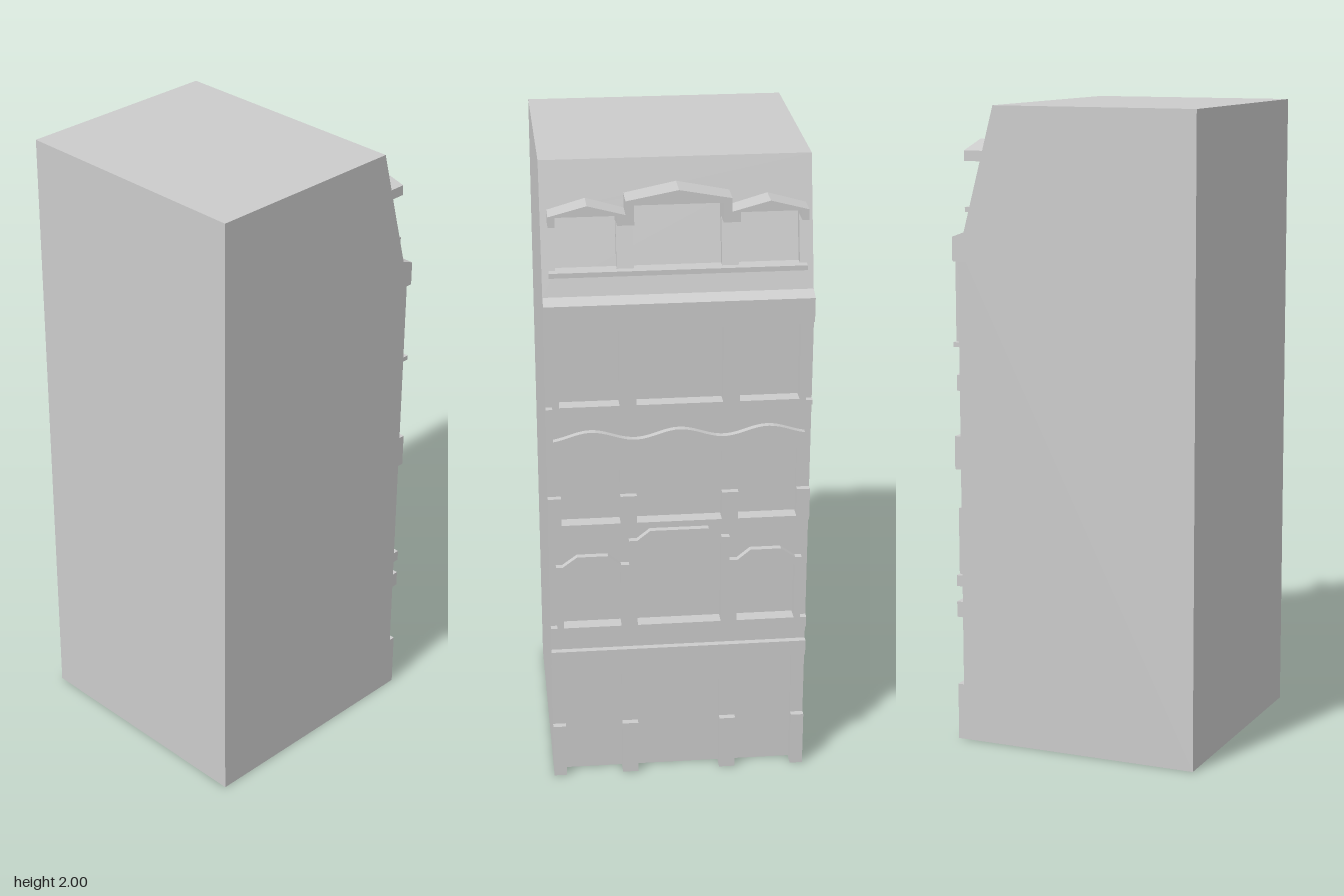
import * as THREE from 'three';

const grey = new THREE.MeshStandardMaterial({ color: 0xcccccc, flatShading: true });
const WALL = 0.38, FRONT = 0.4, GLASS = 0.355;   // facade planes along x
const BAYS = [[-0.36, -0.18], [-0.13, 0.13], [0.18, 0.36]];
const PIERS = [[-0.4, -0.36], [-0.18, -0.13], [0.13, 0.18], [0.36, 0.4]];

const points = (list) => list.map(([a, b]) => new THREE.Vector2(a, b));
// Mirror a half outline (running from u > 0 towards the centre) about u = 0.
const mirror = (half) => [...half, ...half.slice().reverse().map(([u, v]) => [-u, v])];
const rect = ([a, b], y0, y1) => [[a, y0], [b, y0], [b, y1], [a, y1]];

// Window opening with cut top corners.
const cutArch = ([a, b], y0, y1, cx, cy) =>
  [[a, y0], [b, y0], [b, y1 - cy], [b - cx, y1], [a + cx, y1], [a, y1 - cy]];

export function createModel() {
  const model = new THREE.Group();

  const add = (name, geometry) => {
    const mesh = new THREE.Mesh(geometry, grey);
    mesh.name = name;
    model.add(mesh);
    return geometry;
  };

  // Outline in the facade plane (z, y), extruded along x from x0 to x1.
  const relief = (name, outline, holes, x0, x1) => {
    const shape = new THREE.Shape(points(outline));
    for (const hole of holes) shape.holes.push(new THREE.Path(points(hole)));
    const g = new THREE.ExtrudeGeometry(shape, { depth: x1 - x0, bevelEnabled: false });
    return add(name, g.rotateY(Math.PI / 2).translate(x0, 0, 0));
  };

  // Side profile (x, y), extruded over the full width along z.
  const prism = (name, profile, halfWidth = 0.4) => {
    const g = new THREE.ExtrudeGeometry(new THREE.Shape(points(profile)),
      { depth: halfWidth * 2, bevelEnabled: false });
    return add(name, g.translate(0, 0, -halfWidth));
  };
  const band = (name, x0, x1, y0, y1, halfWidth) =>
    prism(name, rect([x0, x1], y0, y1), halfWidth);

  // Main block, with its face at the back of the window recesses
  prism('body', [[-0.4, 0], [GLASS, 0], [GLASS, 1.525], [0.335, 1.615], [0.232, 2], [-0.4, 2]]);

  // Facade wall with ground-floor openings down to the pavement
  const sideArch = (bay) => cutArch(bay, 0.535, 0.76, 0.045, 0.04);
  const archHoles = [sideArch(BAYS[0]), cutArch(BAYS[1], 0.535, 0.835, 0.04, 0.03), sideArch(BAYS[2])];
  const topHoles = BAYS.map((bay) => rect(bay, 1.28, 1.52));
  const wall = [[-0.4, 1.525], [-0.4, 0]];
  for (const [a, b] of BAYS) wall.push([a, 0], [a, 0.4], [b, 0.4], [b, 0]);
  wall.push([0.4, 0], [0.4, 1.525]);
  relief('facadeWall', wall,
    [...archHoles, ...BAYS.map((bay) => rect(bay, 0.89, 1.12)), ...topHoles], GLASS, WALL);

  // Pedestals of the piers on the ground and second upper floors
  for (const pier of PIERS) {
    relief('groundPedestal', rect(pier, 0, 0.18), [], WALL, FRONT);
    relief('upperPedestal', rect(pier, 0.89, 0.98), [], WALL, FRONT);
  }

  // String courses
  for (const [y0, y1] of [[0.4, 0.45], [0.5, 0.535], [0.875, 0.89], [1.26, 1.275]])
    band('stringCourse', WALL, FRONT, y0, y1);

  // Raised surround of the arched windows
  relief('archSurround', mirror([
    [0.38, 0.535], [0.38, 0.747], [0.36, 0.747], [0.315, 0.78], [0.22, 0.78], [0.18, 0.747],
    [0.155, 0.747], [0.155, 0.828], [0.13, 0.828], [0.09, 0.86],
  ]), archHoles, WALL, FRONT);

  // Wavy hood above the second upper floor
  const wave = [[0.38, 1.12]];
  for (let i = 0; i <= 48; i++) {
    const z = 0.38 - (0.76 * i) / 48;
    wave.push([z, 1.182 + 0.014 * Math.cos((2 * Math.PI * z) / 0.267)]);
  }
  wave.push([-0.38, 1.12]);
  relief('wavyHood', wave, [], WALL, FRONT);

  // Raised surround of the top-floor windows
  relief('topSurround', rect([-0.38, 0.38], 1.275, 1.525), topHoles, WALL, FRONT);

  // Eaves cornice
  prism('cornice', [[GLASS, 1.525], [FRONT, 1.525], [FRONT, 1.6], [0.36, 1.615], [0.335, 1.615]]);

  // Mansard slope: a flat layer with dormer openings, leaned back by shearing
  const slope = relief('mansard', rect([-0.4, 0.4], 1.615, 2),
    BAYS.map((bay, i) => rect(bay, 1.69, i === 1 ? 1.89 : 1.86)), 0.335, 0.36);
  const p = slope.attributes.position;
  for (let i = 0; i < p.count; i++) p.setX(i, p.getX(i) - (p.getY(i) - 1.615) * (0.103 / 0.385));
  slope.computeVertexNormals();

  // Dormer sill and the three joined gabled hoods
  band('dormerSill', 0.325, 0.365, 1.675, 1.69, 0.38);
  const hoodTop = [[0.38, 1.83], [0.38, 1.862], [0.267, 1.892], [0.155, 1.862], [0.155, 1.903]];
  const hoodUnder = [[0.13, 1.89], [0.13, 1.83], [0.18, 1.83], [0.18, 1.86], [0.36, 1.86], [0.36, 1.83]];
  const flip = (list) => list.slice().reverse().map(([u, v]) => [-u, v]);
  relief('dormerHoods', [...hoodTop, [0, 1.932], ...flip(hoodTop), ...flip(hoodUnder), ...hoodUnder],
    [], 0.265, 0.365);

  return model;
}
